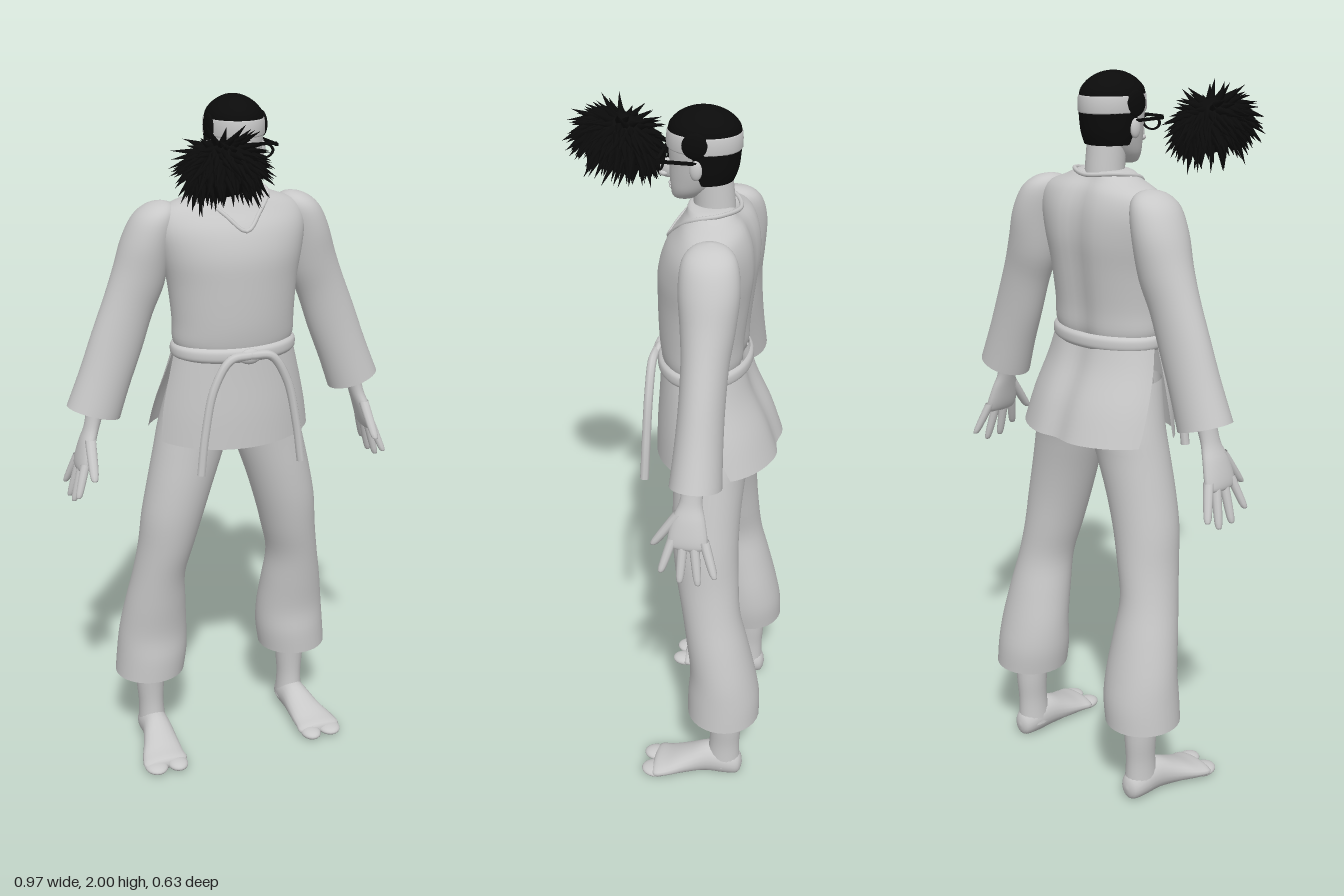
import * as THREE from 'three';
import { mergeVertices, mergeGeometries } from 'three/addons/utils/BufferGeometryUtils.js';

const paleGrey = new THREE.MeshStandardMaterial({ color: 0xc8c8c8, side: THREE.DoubleSide });
paleGrey.name = 'paleGrey';
const black = new THREE.MeshStandardMaterial({ color: 0x0b0b0b, side: THREE.DoubleSide });
black.name = 'black';

const spline = (p0, p1, p2, p3, t) =>
  p1 + 0.5 * t * (p2 - p0 + t * (2 * p0 - 5 * p1 + 4 * p2 - p3 + t * (3 * (p1 - p2) + p3 - p0)));

// Skin over elliptical rings [x, y, z, rx, rz, tilt]; angles(v) limits the sweep, deform moves each point.
function loft(rings, { seg = 32, sub = 4, angles = () => [0, Math.PI * 2], deform } = {}) {
  const list = rings[0][1] > rings[rings.length - 1][1] ? [...rings].reverse() : rings;
  const n = list.length;
  const rows = (n - 1) * sub;
  const pos = [];
  const index = [];
  for (let i = 0; i <= rows; i++) {
    const k = Math.min(Math.floor(i / sub), n - 2);
    const t = i / sub - k;
    const at = j => list[Math.max(0, Math.min(n - 1, j))];
    const [x, y, z, rx, rz, tilt] = [0, 1, 2, 3, 4, 5].map(c =>
      spline(at(k - 1)[c] || 0, at(k)[c] || 0, at(k + 1)[c] || 0, at(k + 2)[c] || 0, t));
    const [a0, a1] = angles(i / rows);
    for (let j = 0; j <= seg; j++) {
      const a = a0 + (a1 - a0) * j / seg;
      const p = new THREE.Vector3(x + Math.max(rx, 0) * Math.cos(a), y + tilt * Math.cos(a), z + Math.max(rz, 0) * Math.sin(a));
      if (deform) deform(p, z, i / rows);
      pos.push(p.x, p.y, p.z);
      if (i < rows && j < seg) {
        const q = i * (seg + 1) + j;
        const u = q + seg + 1;
        index.push(q, u, q + 1, u, u + 1, q + 1);
      }
    }
  }
  let geo = new THREE.BufferGeometry();
  geo.setAttribute('position', new THREE.Float32BufferAttribute(pos, 3));
  geo.setIndex(index);
  geo = mergeVertices(geo, 1e-5);
  geo.computeVertexNormals();
  return geo;
}

function add(parent, name, geo, mat = paleGrey) {
  const mesh = new THREE.Mesh(geo, mat);
  mesh.name = name;
  parent.add(mesh);
  return mesh;
}

const ball = (x, y, z, sx, sy, sz) => new THREE.SphereGeometry(1, 20, 14).scale(sx, sy, sz).translate(x, y, z);
const tube = (pts, r, closed = false) =>
  new THREE.TubeGeometry(new THREE.CatmullRomCurve3(pts.map(p => new THREE.Vector3(...p)), closed), 48, r, 8, closed);
const box = (x, y, z, w, h, d) => new THREE.BoxGeometry(w, h, d).translate(x, y, z);

// Crease down the middle of the back
const groove = depth => (p, cz) => {
  if (p.z < cz) p.z += depth * Math.exp(-((p.x / 0.045) ** 2));
};

function addJacket(g) {
  add(g, 'jacketBody', loft([
    [0, 1.31, -0.095, 0.165, 0.11], [0, 1.34, -0.095, 0.177, 0.118], [0, 1.4, -0.093, 0.178, 0.123],
    [0, 1.5, -0.097, 0.188, 0.13], [0, 1.58, -0.102, 0.205, 0.133], [0, 1.65, -0.11, 0.215, 0.12],
    [0, 1.7, -0.118, 0.195, 0.095], [0, 1.73, -0.115, 0.125, 0.075], [0, 1.75, -0.11, 0.075, 0.06], [0, 1.752, -0.11, 0, 0],
  ], { seg: 48, deform: groove(0.018) }));
  add(g, 'collar', tube([[0, 1.65, 0.009], [0.05, 1.692, -0.022], [0.095, 1.735, -0.075], [0.085, 1.748, -0.14],
    [0, 1.742, -0.18], [-0.085, 1.748, -0.14], [-0.095, 1.735, -0.075], [-0.05, 1.692, -0.022]], 0.006, true));

  // Skirt panels parted by a widening slit on each side
  const skirt = [[0, 1.05, -0.14, 0.24, 0.175], [0, 1.14, -0.125, 0.222, 0.158], [0, 1.24, -0.105, 0.195, 0.132], [0, 1.325, -0.095, 0.172, 0.118]];
  const slit = v => 0.38 * (1 - v);
  add(g, 'skirtFront', loft(skirt, { angles: v => [slit(v), Math.PI - slit(v)],
    deform: (p, cz, v) => { p.y -= 0.012 * (1 - v) * (1 - (p.x / 0.24) ** 2); } }));
  add(g, 'skirtBack', loft(skirt, { angles: v => [Math.PI + slit(v), Math.PI * 2 - slit(v)], deform: groove(0.016) }));

  // Belt with knot and two hanging ends
  add(g, 'belt', loft([[0, 1.29, -0.095, 0.176, 0.122], [0, 1.3, -0.095, 0.183, 0.128],
    [0, 1.32, -0.095, 0.182, 0.127], [0, 1.33, -0.095, 0.172, 0.118]], { seg: 48 }));
  add(g, 'beltKnot', ball(0, 1.308, 0.035, 0.032, 0.022, 0.014));
  for (const s of [-1, 1]) {
    add(g, 'beltEnd', tube([[0, 1.312, 0.04], [s * 0.06, 1.305, 0.042], [s * 0.108, 1.23, 0.042],
      [s * 0.137, 1.1, 0.044], [s * 0.152, 0.982, 0.047]], 0.0125));
  }
}

function addArm(g, s) {
  const m = rings => rings.map(([x, y, z, rx, rz, t = 0]) => [s * x, y, z, rx, rz, s * t]);
  add(g, 'sleeve', loft(m([
    [0.19, 1.722, -0.135, 0, 0], [0.197, 1.712, -0.135, 0.035, 0.042], [0.212, 1.68, -0.136, 0.06, 0.07],
    [0.235, 1.61, -0.14, 0.068, 0.078, 0.01], [0.258, 1.52, -0.142, 0.07, 0.07, 0.025], [0.29, 1.44, -0.142, 0.066, 0.061, 0.03],
    [0.327, 1.34, -0.142, 0.069, 0.059, 0.03], [0.365, 1.24, -0.142, 0.069, 0.062, 0.028], [0.402, 1.143, -0.142, 0.074, 0.068, 0.023],
  ])));
  add(g, 'hand', loft(m([
    [0.385, 1.2, -0.138, 0.03, 0.033], [0.41, 1.11, -0.133, 0.022, 0.029], [0.428, 1.06, -0.13, 0.022, 0.043],
    [0.443, 1.01, -0.13, 0.02, 0.052], [0.45, 0.985, -0.13, 0.013, 0.046], [0.451, 0.98, -0.13, 0, 0],
  ]), { seg: 20 }));
  const digit = (name, a, b, r) => add(g, name, loft(m([0, 0.4, 0.85, 1, 1.01].map((t, i) => {
    const k = [1, 0.95, 0.8, 0.5, 0][i] * r;
    return [...a.map((c, n) => c + (b[n] - c) * t), k, k];
  })), { seg: 10, sub: 2 }));
  [[-0.066, 0.92], [-0.116, 0.893], [-0.164, 0.89], [-0.207, 0.917]].forEach(([z, y], i) =>
    digit('finger', [0.445, 1.01, -0.092 - i * 0.027], [0.476, y, z], 0.0135));
  digit('thumb', [0.425, 1.075, -0.105], [0.435, 0.975, -0.038], 0.016);
}

function addLeg(g, s) {
  const m = rings => rings.map(([x, ...r]) => [s * x, ...r]);
  add(g, 'trouserLeg', loft(m([
    [0.24, 0.25, -0.205, 0.106, 0.105], [0.232, 0.32, -0.203, 0.108, 0.104], [0.228, 0.4, -0.197, 0.104, 0.094],
    [0.224, 0.5, -0.178, 0.092, 0.088], [0.217, 0.6, -0.158, 0.079, 0.083], [0.197, 0.7, -0.143, 0.083, 0.088],
    [0.178, 0.8, -0.133, 0.092, 0.092], [0.153, 0.9, -0.13, 0.098, 0.095], [0.125, 1.0, -0.132, 0.104, 0.099],
    [0.105, 1.08, -0.135, 0.105, 0.105], [0.09, 1.2, -0.12, 0.09, 0.1],
  ])));
  add(g, 'ankle', loft(m([
    [0.236, 0.04, -0.207, 0.043, 0.052], [0.237, 0.12, -0.21, 0.038, 0.045],
    [0.238, 0.2, -0.211, 0.043, 0.048], [0.24, 0.32, -0.205, 0.047, 0.052],
  ]), { seg: 20 }));
  // Foot rings run from heel to toe, then are laid flat
  add(g, 'foot', loft(m([
    [0.237, -0.266, -0.04, 0, 0], [0.237, -0.256, -0.04, 0.028, 0.033], [0.237, -0.22, -0.05, 0.042, 0.048],
    [0.238, -0.16, -0.052, 0.044, 0.05], [0.246, -0.1, -0.038, 0.054, 0.037], [0.256, -0.045, -0.026, 0.065, 0.025],
    [0.258, -0.005, -0.02, 0.064, 0.018], [0.258, 0.003, -0.018, 0, 0],
  ]), { seg: 20 }).rotateX(Math.PI / 2));
  add(g, 'bigToe', ball(s * 0.224, 0.017, 0, 0.031, 0.016, 0.038));
  add(g, 'smallToes', ball(s * 0.29, 0.016, -0.008, 0.035, 0.015, 0.042));
}

function addHead(g) {
  add(g, 'neck', loft([[0, 1.66, -0.11, 0.06, 0.058], [0, 1.74, -0.112, 0.052, 0.054], [0, 1.84, -0.1, 0.052, 0.054]]));
  add(g, 'head', loft([
    [0, 1.758, -0.032, 0, 0], [0, 1.762, -0.032, 0.026, 0.028], [0, 1.785, -0.05, 0.049, 0.052], [0, 1.82, -0.07, 0.063, 0.075],
    [0, 1.86, -0.08, 0.072, 0.086], [0, 1.9, -0.083, 0.077, 0.092], [0, 1.94, -0.083, 0.074, 0.09],
    [0, 1.97, -0.083, 0.058, 0.07], [0, 1.99, -0.083, 0.03, 0.038], [0, 1.995, -0.083, 0, 0],
  ]));
  add(g, 'nose', ball(0, 1.833, 0.01, 0.012, 0.026, 0.022));
  add(g, 'noseTip', ball(0, 1.82, 0.02, 0.015, 0.009, 0.014));
  add(g, 'upperLip', ball(0, 1.797, 0, 0.021, 0.005, 0.008));
  add(g, 'lowerLip', ball(0, 1.787, -0.001, 0.018, 0.005, 0.008));

  add(g, 'hairCap', loft([[0, 1.938, -0.083, 0.078, 0.094], [0, 1.958, -0.083, 0.072, 0.088], [0, 1.98, -0.083, 0.052, 0.066],
    [0, 1.995, -0.083, 0.025, 0.034], [0, 2, -0.083, 0, 0]]), black);
  add(g, 'hairBack', loft([[0, 1.815, -0.088, 0.068, 0.072], [0, 1.85, -0.088, 0.075, 0.084], [0, 1.91, -0.085, 0.08, 0.093]],
    { angles: v => [Math.PI - 0.3 * v, Math.PI * 2 + 0.3 * v] }), black);
  add(g, 'headband', loft([[0, 1.897, -0.083, 0.077, 0.092], [0, 1.9, -0.083, 0.081, 0.097],
    [0, 1.937, -0.083, 0.08, 0.096], [0, 1.942, -0.083, 0.073, 0.089]], { sub: 2 }));

  for (const s of [-1, 1]) {
    add(g, 'sideHair', ball(s * 0.076, 1.92, -0.072, 0.009, 0.034, 0.034), black);
    add(g, 'ear', ball(s * 0.077, 1.858, -0.075, 0.01, 0.026, 0.016));
    // Spectacles
    const rim = new THREE.TorusGeometry(1, 0.14, 8, 28).scale(0.031, 0.019, 0.025).translate(s * 0.039, 1.863, 0.02);
    add(g, 'spectacleRim', rim, black);
    add(g, 'browBar', box(s * 0.042, 1.881, 0.02, 0.076, 0.007, 0.008), black);
    add(g, 'spectacleArm', box(s * 0.081, 1.877, -0.027, 0.006, 0.008, 0.1), black);
  }
  add(g, 'spectacleBridge', box(0, 1.868, 0.022, 0.02, 0.006, 0.006), black);
}

// Separate tuft of spiky hair floating before the right shoulder
function addTuft(g) {
  let seed = 11;
  const rand = () => (seed = (seed * 16807) % 2147483647) / 2147483647;
  const R = new THREE.Vector3(0.083, 0.068, 0.105);
  const up = new THREE.Vector3(0, 1, 0);
  const parts = [new THREE.SphereGeometry(1, 24, 16).scale(R.x, R.y, R.z)];
  const count = 230;
  for (let i = 0; i < count; i++) {
    const y = 0.97 - 1.55 * (i + 0.5) / count;
    const a = i * 2.39996;
    const r = Math.sqrt(1 - y * y);
    const n = new THREE.Vector3(r * Math.cos(a), y, r * Math.sin(a));
    const base = n.clone().multiply(R).multiplyScalar(0.9);
    const flow = new THREE.Vector3(n.x * y, -r, n.z * y);
    const dir = n.clone().multiplyScalar(0.45 + 0.35 * rand()).addScaledVector(flow, 0.75);
    dir.x += 0.5 * (rand() - 0.5);
    dir.z += 0.5 * (rand() - 0.5);
    dir.normalize();
    const len = 0.045 + 0.035 * rand();
    const cone = new THREE.ConeGeometry(0.011, len, 5, 1).translate(0, len / 2, 0);
    cone.applyQuaternion(new THREE.Quaternion().setFromUnitVectors(up, dir));
    parts.push(cone.translate(base.x, base.y, base.z));
  }
  const tuft = add(g, 'hairTuft', mergeGeometries(parts), black);
  tuft.position.set(-0.128, 1.85, 0.165);
  tuft.rotation.x = -0.3;
}

export function createModel() {
  const g = new THREE.Group();
  g.name = 'uniformedFigure';
  addJacket(g);
  add(g, 'hips', ball(0, 1.16, -0.125, 0.175, 0.14, 0.105));
  for (const s of [-1, 1]) {
    addArm(g, s);
    addLeg(g, s);
  }
  addHead(g);
  addTuft(g);
  return g;
}
